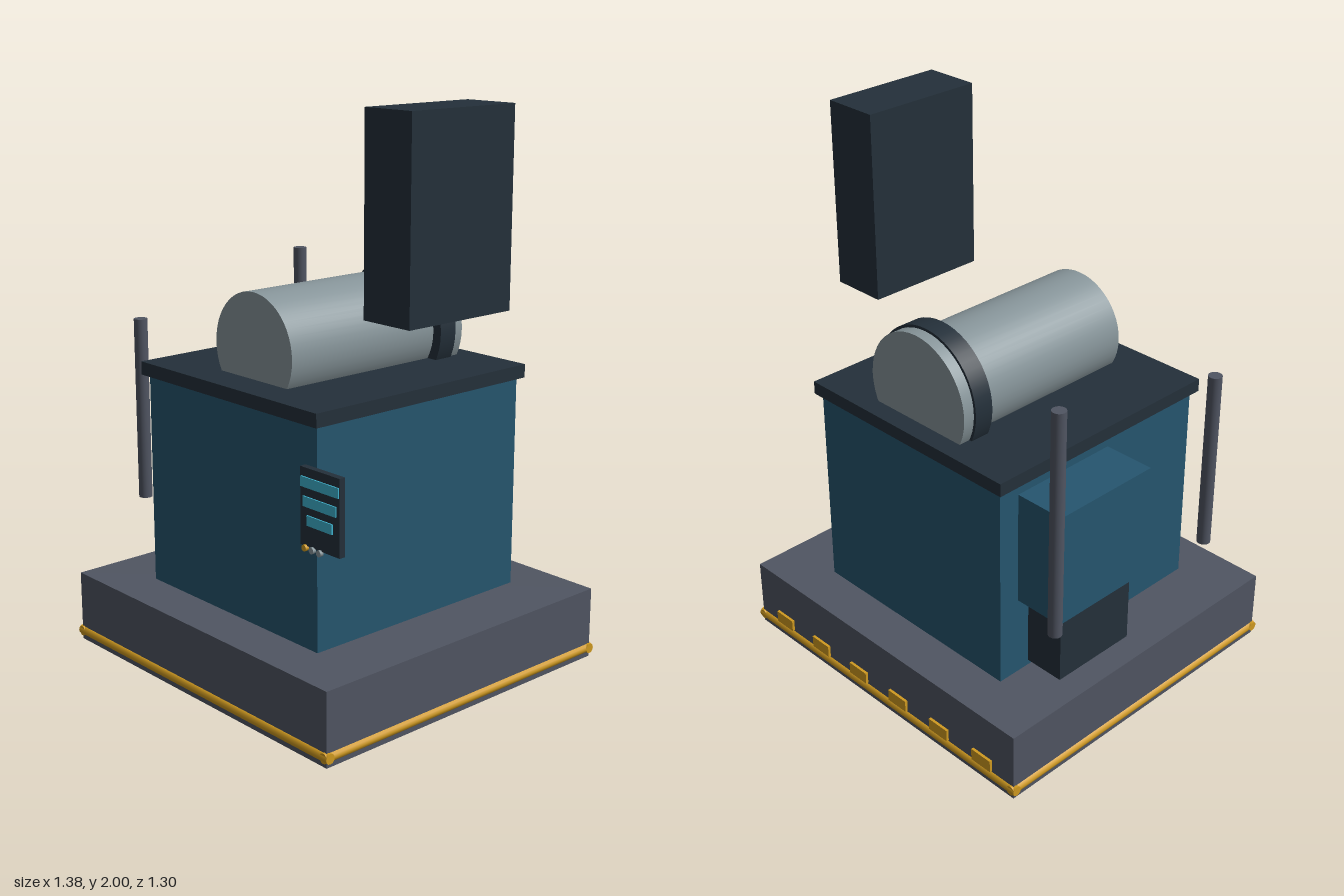
import * as THREE from 'three';

const mat = (name, color) => {
  const m = new THREE.MeshStandardMaterial({ color });
  m.name = name;
  return m;
};

export function createModel() {
  const root = new THREE.Group();
  root.name = 'machine';
  const dark = mat('dark slate', 0x24303a);
  const blue = mat('deep blue', 0x26566f);
  const stone = mat('stone grey', 0x505562);
  const steel = mat('steel', 0x87959a);
  const gold = mat('gold', 0xd09a20);
  const cyan = mat('cyan', 0x3fb4d0);

  const add = (name, geo, material) => {
    const mesh = new THREE.Mesh(geo, material);
    mesh.name = name;
    root.add(mesh);
    return mesh;
  };
  // Box given by its extents on each axis
  const box = (name, material, [x0, x1], [y0, y1], [z0, z1]) =>
    add(name, new THREE.BoxGeometry(x1 - x0, y1 - y0, z1 - z0), material)
      .position.set((x0 + x1) / 2, (y0 + y1) / 2, (z0 + z1) / 2);
  // Cylinder lying along z
  const drum = (name, material, r, x, y, z0, z1, sides = 48) =>
    add(name, new THREE.CylinderGeometry(r, r, z1 - z0, sides).rotateX(Math.PI / 2), material)
      .position.set(x, y, (z0 + z1) / 2);

  // Plinth with a gold rail around its foot
  box('plinth', stone, [-0.68, 0.68], [0, 0.26], [-0.637, 0.637]);
  for (const s of [-1, 1]) {
    drum('sideRail', gold, 0.018, s * 0.672, 0.034, -0.645, 0.645, 12);
    const rail = add('endRail', new THREE.CylinderGeometry(0.018, 0.018, 1.38, 12).rotateZ(Math.PI / 2), gold);
    rail.position.set(0, 0.034, s * 0.63);
  }
  // Row of gold tabs along the back
  for (let i = 0; i < 6; i++) {
    const x = (i - 2.5) * 0.213;
    box('backTab', gold, [x - 0.045, x + 0.045], [0.055, 0.1], [-0.647, -0.637]);
  }

  // Cabinet and lid
  box('cabinet', blue, [-0.445, 0.445], [0.26, 1.03], [-0.467, 0.467]);
  box('lid', dark, [-0.467, 0.465], [1.027, 1.075], [-0.487, 0.487]);

  // Half-sunk barrel with collar and end cap
  drum('barrel', steel, 0.2, 0, 1.175, -0.4, 0.358);
  drum('collar', dark, 0.237, 0, 1.175, -0.372, -0.298);
  drum('endCap', steel, 0.227, 0, 1.175, -0.415, -0.37);

  // Side housing on its stand
  box('sideHousing', blue, [-0.637, -0.445], [0.56, 0.98], [-0.385, 0.04]);
  box('housingStand', dark, [-0.597, -0.445], [0.28, 0.56], [-0.335, 0.005]);

  // Two upright pipes of different heights
  for (const [z, top] of [[-0.385, 1.365], [0.379, 1.19]]) {
    add('pipe', new THREE.CylinderGeometry(0.025, 0.025, top - 0.515, 16), stone)
      .position.set(-0.618, (top + 0.515) / 2, z);
  }

  // Hanging block
  box('hangingBlock', dark, [0.405, 0.613], [1.325, 2], [-0.231, 0.231]);

  // Control panel: screen bars and indicator buttons
  box('controlPanel', dark, [0.415, 0.6], [0.64, 0.9], [0.488, 0.511]);
  for (const [y, half] of [[0.853, 0.089], [0.789, 0.077], [0.728, 0.06]]) {
    box('screenBar', cyan, [0.509 - half, 0.509 + half], [y - 0.017, y + 0.017], [0.511, 0.516]);
  }
  [gold, steel, steel].forEach((m, i) =>
    drum('panelButton', m, 0.011, 0.44 + i * 0.035, 0.634, 0.507, 0.52, 12));

  return root;
}
